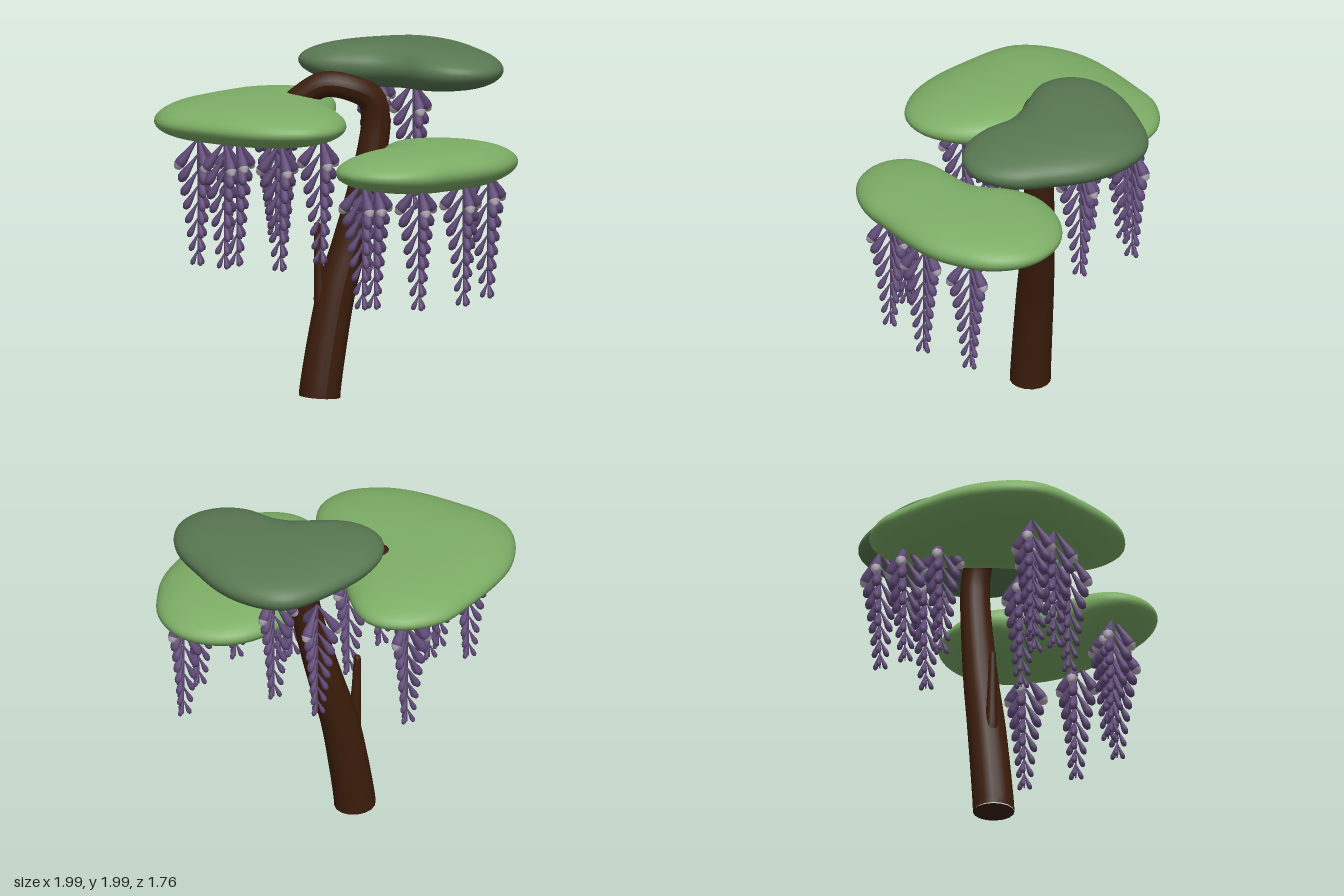
import * as THREE from 'three';
import { mergeGeometries, mergeVertices } from 'three/addons/utils/BufferGeometryUtils.js';

const material = (name, color) => {
  const m = new THREE.MeshStandardMaterial({ color });
  m.name = name;
  return m;
};
const bark = material('bark', 0x3c1d0b);
const lightLeaf = material('light leaf', 0x7dae66);
const darkLeaf = material('dark leaf', 0x597852);
const blossom = material('blossom', 0x604a78);
const paleTip = material('pale tip', 0xbdb5c2);

const v3 = (p) => new THREE.Vector3(...p);
const lerp = THREE.MathUtils.lerp;

// Tapered limb along a curve; radii are spread evenly along its length
function limb(points, radii, steps = 60) {
  const curve = new THREE.CatmullRomCurve3(points.map(v3));
  const geo = new THREE.TubeGeometry(curve, steps, 1, 16);
  const pos = geo.attributes.position, p = new THREE.Vector3();
  for (let i = 0; i < pos.count; i++) {
    const t = Math.floor(i / 17) / steps;
    const c = curve.getPointAt(t);
    const k = t * (radii.length - 1), a = Math.min(Math.floor(k), radii.length - 2);
    p.fromBufferAttribute(pos, i).sub(c).multiplyScalar(lerp(radii[a], radii[a + 1], k - a)).add(c);
    pos.setXYZ(i, p.x, p.y, p.z);
  }
  geo.computeVertexNormals();
  return geo;
}

// Cushion of foliage: a sphere reshaped to a plan outline of [x, z] points,
// with mid height, height above and below, and a tilt along x
function foliage(name, mat, outline, centre, mid, up, down, tilt) {
  const curve = new THREE.CatmullRomCurve3(outline.map(([x, z]) => v3([x, 0, z])), true);
  const geo = new THREE.SphereGeometry(1, 72, 28);
  const pos = geo.attributes.position, uv = geo.attributes.uv;
  for (let i = 0; i < pos.count; i++) {
    const edge = curve.getPointAt((2 - uv.getX(i)) % 1);
    const y = pos.getY(i);
    const r = Math.pow(Math.max(0, 1 - y * y), 0.38);
    const x = lerp(centre[0], edge.x, r), z = lerp(centre[1], edge.z, r);
    pos.setXYZ(i, x, mid + y * (y > 0 ? up : down) + tilt * (x - centre[0]), z);
  }
  geo.deleteAttribute('uv');
  geo.deleteAttribute('normal');
  const smooth = mergeVertices(geo, 1e-5);
  smooth.computeVertexNormals();
  const mesh = new THREE.Mesh(smooth, mat);
  mesh.name = name;
  return mesh;
}

// Teardrop petal pieces hanging down from the origin, one unit long
const lathe = (pts) => new THREE.LatheGeometry(pts.map(([x, y]) => new THREE.Vector2(x, y)), 8);
const petalBody = lathe([[0, -1], [0.08, -0.97], [0.14, -0.86], [0.14, -0.72], [0.085, -0.45], [0.045, -0.2], [0.02, 0]]);
const petalTip = lathe([[0, -1.015], [0.085, -0.98], [0.147, -0.86]]);

// Hanging raceme: whorls of three petals that shrink toward the bottom
function racemeGeometries() {
  const purple = [new THREE.CylinderGeometry(0.007, 0.004, 0.72, 6).translate(0, -0.36, 0)];
  const pale = [];
  const tiers = 8;
  for (let i = 0; i < tiers; i++) {
    const t = i / (tiers - 1);
    const length = lerp(0.22, 0.1, Math.pow(t, 0.8));
    const spread = lerp(0.62, 0.4, t);
    for (let k = 0; k < 3; k++) {
      const place = (g) => g.clone()
        .scale(length, length, length)
        .rotateX(-spread)
        .rotateY((k * Math.PI * 2) / 3)
        .translate(0, -t * 0.63, 0);
      purple.push(place(petalBody));
      if (i === 0) pale.push(place(petalTip));
    }
  }
  return [mergeGeometries(purple), mergeGeometries(pale)];
}

export function createModel() {
  const model = new THREE.Group();
  model.name = 'blossom tree';
  const add = (name, geo, mat) => {
    const mesh = new THREE.Mesh(geo, mat);
    mesh.name = name;
    model.add(mesh);
  };

  // Leaning trunk that arches over into the left foliage
  add('trunk', limb([
    [-0.06, 0, -0.14], [-0.058, 0.03, -0.14], [-0.015, 0.3, -0.145], [0.045, 0.6, -0.15], [0.125, 0.87, -0.15],
    [0.2, 1.15, -0.145], [0.255, 1.4, -0.14], [0.27, 1.55, -0.135], [0.24, 1.68, -0.125],
    [0.13, 1.745, -0.125], [-0.02, 1.765, -0.175], [-0.14, 1.69, -0.23], [-0.24, 1.59, -0.28],
  ], [0.117, 0.113, 0.108, 0.1, 0.092, 0.085, 0.08, 0.074, 0.068]), bark);
  add('trunkBase', new THREE.CircleGeometry(0.117, 16).rotateX(Math.PI / 2).translate(-0.06, 0.001, -0.14), bark);

  // Thin broken side shoot
  add('sideShoot', limb([
    [0.0, 0.3, -0.15], [-0.045, 0.5, -0.15], [-0.06, 0.72, -0.15], [-0.07, 0.97, -0.15],
  ], [0.06, 0.045, 0.032, 0.025, 0.02], 16), bark);
  add('sideShootEnd', new THREE.SphereGeometry(0.02, 10, 6).translate(-0.07, 0.97, -0.15), bark);

  // Three foliage cushions
  model.add(foliage('leftFoliage', lightLeaf, [
    [-1, -0.2], [-0.96, -0.37], [-0.82, -0.57], [-0.6, -0.72], [-0.4, -0.82], [-0.26, -0.88],
    [-0.08, -0.88], [0.05, -0.83], [0.14, -0.74], [0.17, -0.63], [0.14, -0.45], [0.07, -0.25],
    [0.01, -0.06], [-0.01, 0.1], [-0.03, 0.25], [-0.09, 0.38], [-0.18, 0.48], [-0.33, 0.53],
    [-0.47, 0.5], [-0.6, 0.43], [-0.73, 0.3], [-0.88, 0.08], [-0.97, -0.08],
  ], [-0.42, -0.18], 1.59, 0.13, 0.125, 0.01));
  model.add(foliage('topFoliage', darkLeaf, [
    [-0.105, -0.33], [-0.09, -0.43], [-0.02, -0.53], [0.12, -0.62], [0.33, -0.68], [0.58, -0.71],
    [0.7, -0.68], [0.8, -0.59], [0.88, -0.46], [0.93, -0.3], [0.945, -0.1], [0.945, 0.1],
    [0.89, 0.24], [0.8, 0.33], [0.67, 0.36], [0.53, 0.32], [0.43, 0.23], [0.35, 0.08],
    [0.25, -0.02], [0.1, -0.1], [-0.05, -0.2],
  ], [0.53, -0.22], 1.86, 0.125, 0.14, -0.025));
  model.add(foliage('frontFoliage', lightLeaf, [
    [-0.2, 0.62], [-0.19, 0.54], [-0.12, 0.44], [0, 0.35], [0.12, 0.27], [0.2, 0.18],
    [0.24, 0.07], [0.28, -0.05], [0.36, -0.14], [0.5, -0.2], [0.66, -0.21], [0.8, -0.17],
    [0.92, -0.07], [0.98, 0.04], [0.995, 0.14], [0.975, 0.28], [0.9, 0.42], [0.8, 0.55],
    [0.65, 0.66], [0.4, 0.79], [0.28, 0.85], [0.14, 0.875], [0, 0.855], [-0.1, 0.8], [-0.17, 0.72],
  ], [0.43, 0.35], 1.36, 0.122, 0.13, -0.025));

  // Racemes hung as [x, top, z]
  const [purpleGeo, paleGeo] = racemeGeometries();
  const racemes = [
    [-0.04, 1.32, 0.57], [0.03, 1.32, 0.57], [0.25, 1.32, 0.7], [0.56, 1.31, 0.56], [0.78, 1.31, 0.33],
    [-0.77, 1.5, -0.16], [-0.67, 1.5, 0.01], [-0.57, 1.5, -0.07], [-0.4, 1.5, 0.19], [-0.1, 1.5, 0.01],
    [-0.2, 1.59, -0.5], [-0.1, 1.56, -0.68],
    [0.56, 1.73, -0.33], [0.45, 1.76, -0.64],
  ];
  racemes.forEach((p, i) => {
    const raceme = new THREE.Group();
    raceme.name = `raceme${i + 1}`;
    const petals = new THREE.Mesh(purpleGeo, blossom);
    petals.name = 'petals';
    const tips = new THREE.Mesh(paleGeo, paleTip);
    tips.name = 'petalTips';
    raceme.add(petals, tips);
    raceme.position.set(...p);
    model.add(raceme);
  });
  return model;
}
